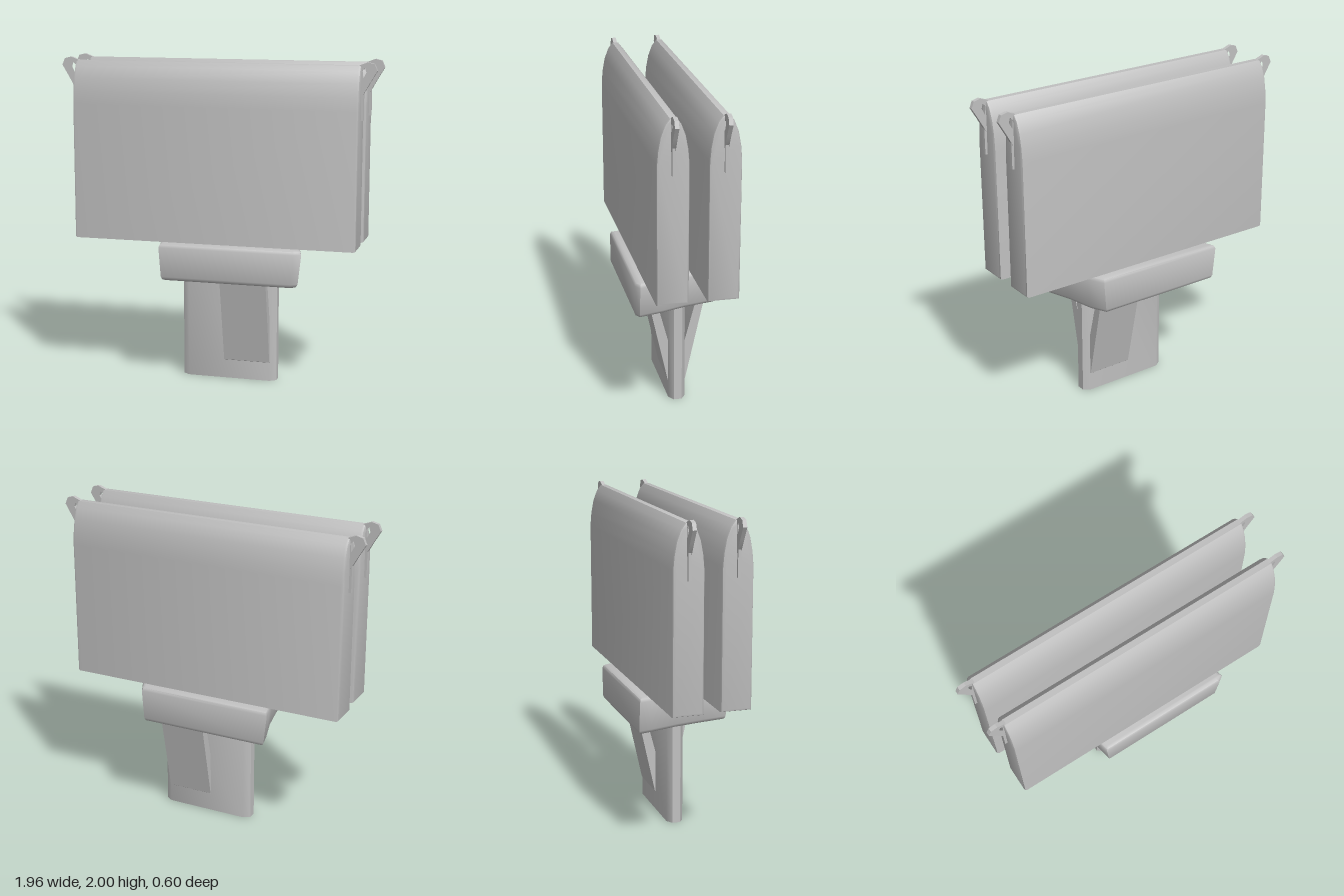
import * as THREE from 'three';
import { toCreasedNormals } from 'three/addons/utils/BufferGeometryUtils.js';

const grey = new THREE.MeshStandardMaterial({ color: 0xc0c0c0 });
grey.name = 'plain grey';

const outline = (pts) => new THREE.Shape(pts.map(([x, y]) => new THREE.Vector2(x, y)));

// Extrudes an outline from 0 to depth, with an inward bevel that keeps its size
function slab(shape, depth, bevel, crease = 0.6) {
  const geo = new THREE.ExtrudeGeometry(shape, {
    depth: depth - 2 * bevel, bevelEnabled: bevel > 0, bevelThickness: bevel,
    bevelSize: bevel, bevelOffset: -bevel, bevelSegments: 2, curveSegments: 8,
  });
  geo.translate(0, 0, bevel);
  return toCreasedNormals(geo, crease);
}

function add(parent, name, geo) {
  const mesh = new THREE.Mesh(geo, grey);
  mesh.name = name;
  parent.add(mesh);
  return mesh;
}

// Thick board with a rounded, ridged top
function makePanel(name, z, x0, x1) {
  const group = new THREE.Group();
  group.name = name;
  group.position.z = z;

  const half = [[0.093, 0.89], [0.093, 1.72], [0.086, 1.8], [0.071, 1.88], [0.046, 1.945], [0.018, 1.98]];
  const mirrored = half.map(([u, y]) => [-u, y]).reverse();
  const board = slab(outline([...half, ...mirrored]), x1 - x0, 0.015);
  board.rotateY(Math.PI / 2);
  board.translate(x0, 0, 0);
  add(group, 'board', board);

  // Pierced ear and its tail at both upper corners
  for (const side of [-1, 1]) {
    const end = side < 0 ? x0 : x1;
    const offset = end - side * 0.88;
    const flip = (pts) => pts.map(([x, y]) => [side * x + offset, y]);
    const ear = outline(flip([[0.86, 1.78], [0.885, 1.8], [0.93, 1.88], [0.972, 1.95],
      [0.955, 1.99], [0.915, 2], [0.85, 1.975]]));
    ear.holes.push(new THREE.Path(flip([[0.888, 1.9], [0.908, 1.94], [0.9, 1.965], [0.882, 1.95]])
      .map(([x, y]) => new THREE.Vector2(x, y))));
    const geo = slab(ear, 0.024, 0);
    geo.translate(0, 0, -0.012);
    add(group, 'ear', geo);

    const tail = new THREE.BoxGeometry(0.03, 0.16, 0.018);
    tail.translate(end, 1.74, 0);
    add(group, 'earTail', tail);
  }
  return group;
}

export function createModel() {
  const model = new THREE.Group();
  model.name = 'doublePanelStand';

  // Two parallel panels
  model.add(makePanel('frontPanel', 0.147, -0.88, 0.88));
  model.add(makePanel('backPanel', -0.147, -0.9, 0.88));

  // Skewed collar carrying the panels
  const collar = slab(outline([[-0.47, -0.3], [0.38, -0.3], [0.43, -0.2], [0.47, -0.02],
    [0.52, 0.12], [0.56, 0.27], [0.52, 0.295], [-0.32, 0.295], [-0.35, 0.14], [-0.39, -0.04], [-0.45, -0.22]]),
  0.23, 0.025, 0.8);
  collar.rotateX(Math.PI / 2);
  // Draw the ends in slightly towards the bottom
  const p = collar.attributes.position;
  for (let i = 0; i < p.count; i++) {
    p.setX(i, 0.04 + (p.getX(i) - 0.04) * (1 + 0.25 * Math.min(0, p.getY(i) + 0.05)));
  }
  collar.translate(0, 0.89, 0);
  add(model, 'collar', toCreasedNormals(collar, 0.8));

  // Flat post with bevelled edges
  const post = slab(outline([[-0.24, -0.025], [-0.2, -0.052], [0.32, -0.052], [0.36, -0.025],
    [0.36, 0.025], [0.32, 0.052], [-0.2, 0.052], [-0.24, 0.025]]), 0.69, 0, 0.8);
  post.rotateX(Math.PI / 2);
  post.translate(0, 0.69, 0);
  add(model, 'post', post);

  // Sloping braces on the front and back of the post
  for (const side of [-1, 1]) {
    const section = outline([[0.03, 0.1], [0.055, 0.12], [0.18, 0.69], [0.132, 0.69], [0.04, 0.34]]
      .map(([z, y]) => [-side * z, y]));
    const brace = slab(section, 0.29, 0);
    brace.rotateY(Math.PI / 2);
    brace.translate(0.03, 0, 0);
    add(model, side > 0 ? 'frontBrace' : 'backBrace', brace);
  }
  return model;
}
